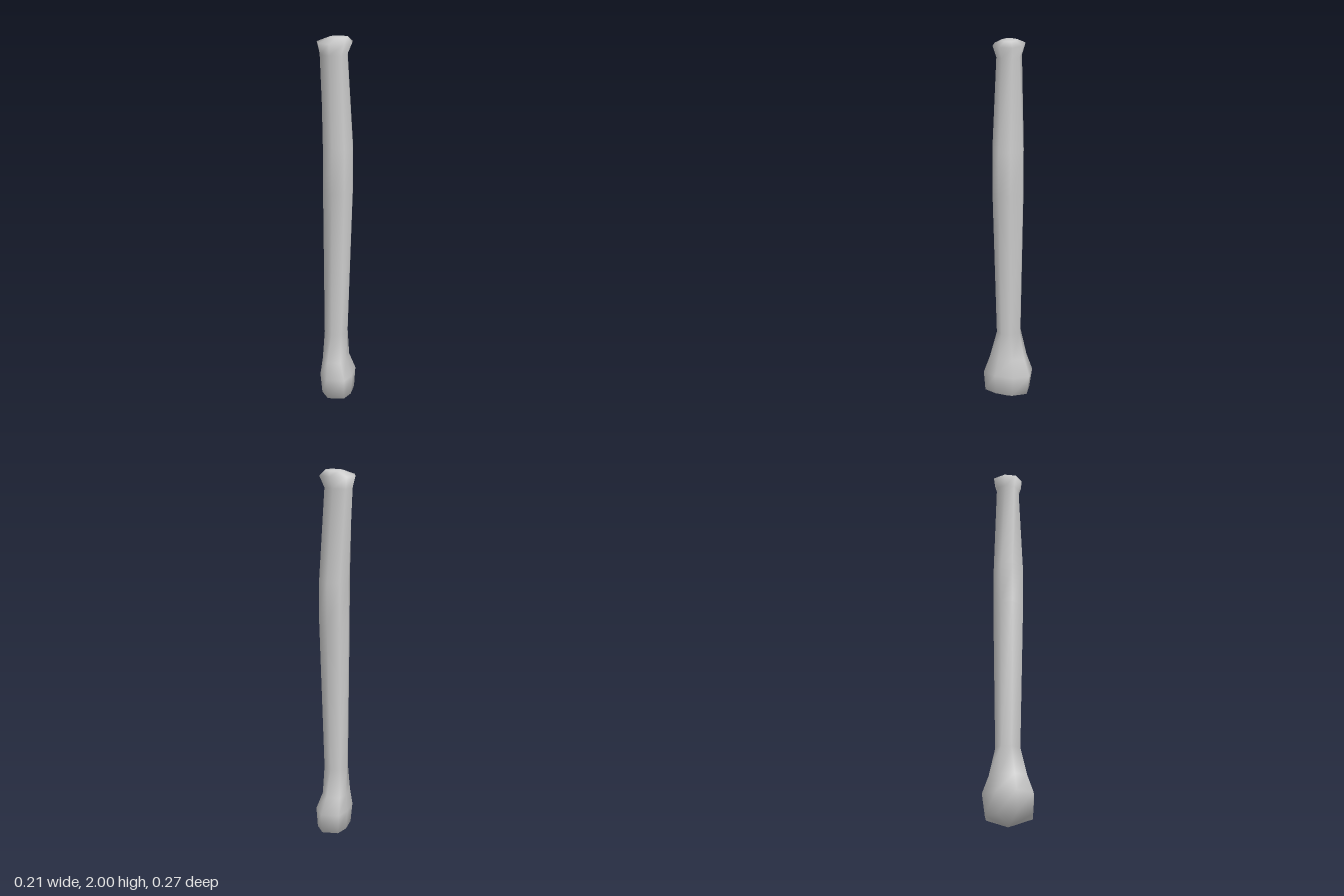
import * as THREE from 'three';

const SIDES = 8;

// Outline corners are [x, z], running from the back round by +x to the front.
// Point-symmetric outlines repeat their first half turned by 180 degrees.
const turned = (half) => [...half, ...half.map(([x, z]) => [-x, -z])];
const knuckle = turned([[0.02, -0.133], [0.105, -0.09], [0.104, 0], [0.045, 0.087]]);
const shaft = turned([[0, -0.084], [0.06, -0.06], [0.08, 0.01], [0.053, 0.066]]);
const knob = [[-0.03, -0.1], [0.045, -0.06], [0.08, 0], [0.05, 0.06], [0, 0.08], [-0.07, 0.05], [-0.107, 0], [-0.09, -0.062]];

// Cross-sections from bottom to top: outline, height, scale, shift in x and z
const sections = [
  [knuckle, 0.05, 0.91, 0, 0.004],
  [knuckle, 0.16, 1, 0, 0],
  [knuckle, 0.25, 0.75, -0.01, -0.004],
  [shaft, 0.4, 0.8, -0.008, -0.006],
  [shaft, 1.2, 1, 0, 0],
  [shaft, 1.43, 1, 0, 0],
  [knob, 1.91, 0.78, -0.008, -0.004],
  [knob, 1.97, 1, 0, 0],
  [knob, 1.995, 0.5, 0.012, 0],
];

// Skin the cross-sections and close both ends with a shallow point
function loft(rings, bottom, top) {
  const positions = rings.flatMap(([outline, y, scale, dx, dz]) =>
    outline.flatMap(([x, z]) => [x * scale + dx, y, z * scale + dz]));
  const low = rings.length * SIDES;
  const high = low + 1;
  const last = low - SIDES;
  positions.push(...bottom, ...top);

  const index = [];
  for (let j = 0; j < SIDES; j++) {
    const k = (j + 1) % SIDES;
    for (let a = 0; a < last; a += SIDES) {
      const b = a + SIDES;
      index.push(a + k, a + j, b + j, a + k, b + j, b + k);
    }
    index.push(low, j, k, high, last + k, last + j);
  }

  const geometry = new THREE.BufferGeometry();
  geometry.setAttribute('position', new THREE.Float32BufferAttribute(positions, 3));
  geometry.setIndex(index);
  geometry.computeVertexNormals();
  return geometry;
}

export function createModel() {
  const group = new THREE.Group();
  group.name = 'longBone';
  const bone = new THREE.Mesh(
    loft(sections, [0, 0, 0], [0, 2, 0]),
    new THREE.MeshStandardMaterial({ color: 0xcccccc })
  );
  bone.name = 'boneShaft';
  group.add(bone);
  return group;
}
